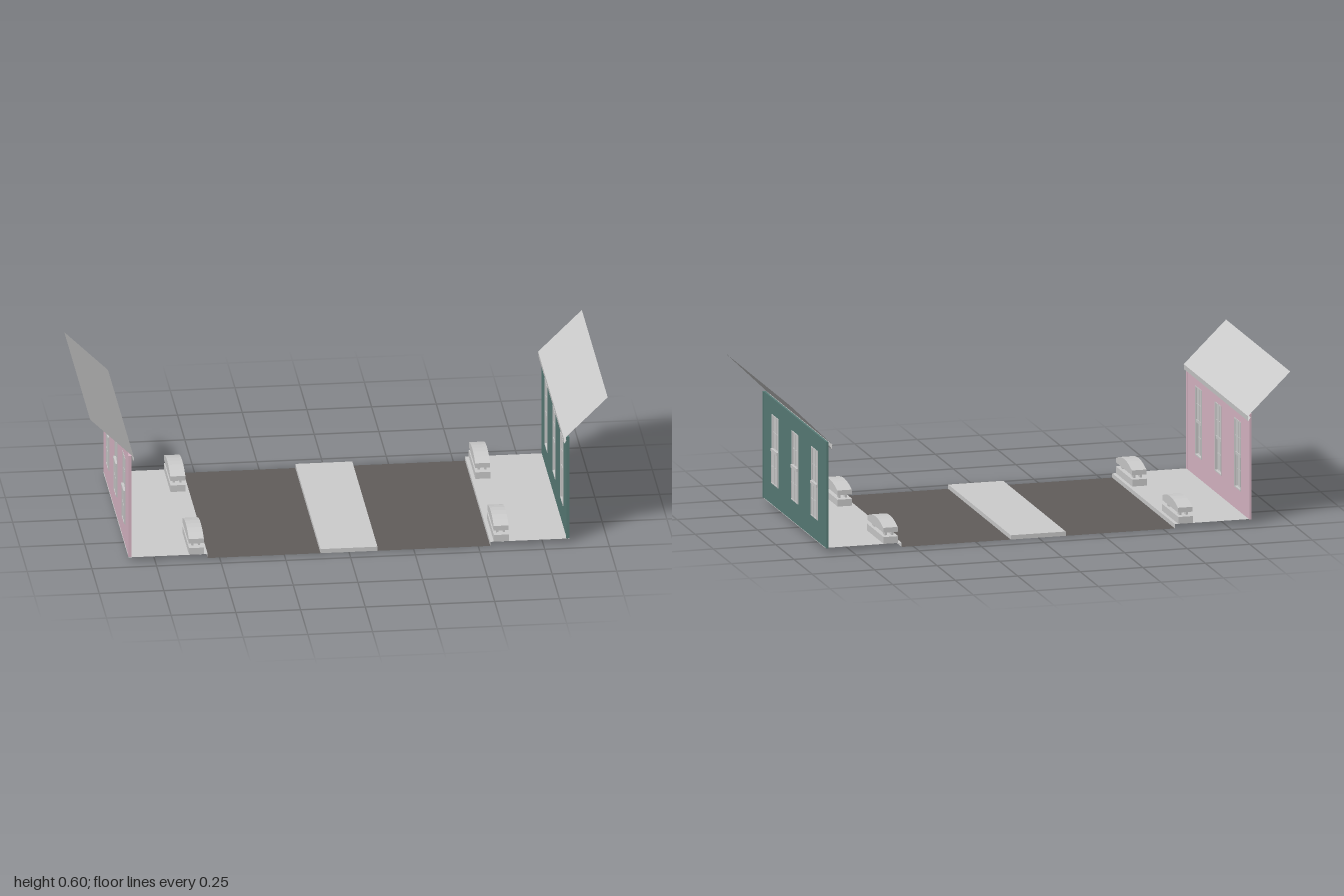
import * as THREE from 'three';

const material = (color) => new THREE.MeshStandardMaterial({ color, side: THREE.DoubleSide, flatShading: true });
const grey = material(0xcccccc);
const asphalt = material(0x615d5b);
const teal = material(0x587c77);
const pink = material(0xd9b6c5);

const BACK = -0.421, FRONT = 0.443, KERB = 0.017;
const WALL_BOTTOM = KERB, WALL_TOP = 0.437;
const WINDOW_Z = [0.273, 0.001, -0.268];
const WINDOW_HALF = 0.045, WINDOW_LOW = 0.1, WINDOW_HIGH = 0.374;

function add(parent, name, geometry, mat = grey) {
  const mesh = new THREE.Mesh(geometry, mat);
  mesh.name = name;
  parent.add(mesh);
  return mesh;
}

// Box given by its limits on each axis
function box(parent, name, [x0, x1], [y0, y1], [z0, z1], mat = grey) {
  const mesh = add(parent, name, new THREE.BoxGeometry(Math.abs(x1 - x0), y1 - y0, z1 - z0), mat);
  mesh.position.set((x0 + x1) / 2, (y0 + y1) / 2, (z0 + z1) / 2);
  return mesh;
}

// Thin sheet: a line of [x, y] points swept along z
function sheet(parent, name, points, z0, z1, mat = grey) {
  const positions = [], index = [];
  points.forEach(([x, y], i) => {
    positions.push(x, y, z0, x, y, z1);
    const a = i * 2;
    if (i) index.push(a - 2, a - 1, a + 1, a - 2, a + 1, a);
  });
  const geometry = new THREE.BufferGeometry();
  geometry.setAttribute('position', new THREE.Float32BufferAttribute(positions, 3));
  geometry.setIndex(index);
  const flat = geometry.toNonIndexed();
  flat.computeVertexNormals();
  return add(parent, name, flat, mat);
}

// Extrude a (z, y) outline along x, centred on x = 0
function extrudeAcross(shape, width) {
  const geometry = new THREE.ExtrudeGeometry(shape, { depth: width, bevelEnabled: false });
  geometry.translate(0, 0, -width / 2);
  geometry.rotateY(-Math.PI / 2);
  return geometry;
}

function rectangle(Type, z0, z1, y0, y1) {
  return new Type([[z0, y0], [z1, y0], [z1, y1], [z0, y1]].map(([z, y]) => new THREE.Vector2(z, y)));
}

// One sash: pane, frame and crossed glazing bars
function sash(parent, name, side, x, z, y0, y1) {
  const group = new THREE.Group();
  group.name = name;
  const span = (half) => [side * (x - half), side * (x + half)];
  const w = 0.041, f = 0.004, mid = (y0 + y1) / 2;
  box(group, 'pane', span(0.0006), [y0, y1], [z - w, z + w]);
  for (const e of [-1, 1]) {
    const edge = z + e * (w - f / 2);
    box(group, 'stile', span(0.003), [y0, y1], [edge - f / 2, edge + f / 2]);
  }
  box(group, 'bottomRail', span(0.003), [y0, y0 + f], [z - w, z + w]);
  box(group, 'topRail', span(0.003), [y1 - f, y1], [z - w, z + w]);
  box(group, 'verticalBar', span(0.002), [y0, y1], [z - 0.0015, z + 0.0015]);
  box(group, 'horizontalBar', span(0.002), [mid - 0.0015, mid + 0.0015], [z - w, z + w]);
  parent.add(group);
}

function houseFront(side, color) {
  const house = new THREE.Group();
  house.name = side > 0 ? 'leftHouseFront' : 'rightHouseFront';

  // Wall with window openings
  const outline = rectangle(THREE.Shape, -0.432, 0.44, WALL_BOTTOM, WALL_TOP);
  for (const z of WINDOW_Z) {
    outline.holes.push(rectangle(THREE.Path, z - WINDOW_HALF, z + WINDOW_HALF, WINDOW_LOW, WINDOW_HIGH));
  }
  add(house, 'wall', extrudeAcross(outline, 0.008), color).position.x = side * 0.846;
  box(house, 'cornerBoard', [side * 0.84, side * 0.852], [WALL_BOTTOM, WALL_TOP], [0.427, 0.4405], color);

  // Sash windows, the lower sash set further from the street
  for (const z of WINDOW_Z) {
    const casing = rectangle(THREE.Shape, z - WINDOW_HALF, z + WINDOW_HALF, WINDOW_LOW, WINDOW_HIGH);
    casing.holes.push(rectangle(THREE.Path, z - 0.04, z + 0.04, WINDOW_LOW + 0.005, WINDOW_HIGH - 0.005));
    add(house, 'windowCasing', extrudeAcross(casing, 0.011)).position.x = side * 0.846;
    sash(house, 'upperSash', side, 0.846, z, 0.238, 0.371);
    sash(house, 'lowerSash', side, 0.852, z, 0.103, 0.24);
    box(house, 'meetingRail', [side * 0.844, side * 0.857], [0.229, 0.241], [z - 0.042, z + 0.042]);
  }

  // Roof slope rising away from the street, with its eave
  const eave = [side * 0.831, 0.43];
  sheet(house, 'roof', [eave, [side, 0.595]], -0.446, 0.44);
  sheet(house, 'eave', [eave, [side * 0.832, 0.41], [side * 0.842, 0.425]], -0.446, 0.44);
  return house;
}

// Low bench-like block: base, short legs and an arched top
function streetBlock(x, z) {
  const group = new THREE.Group();
  group.name = 'streetBlock';
  box(group, 'base', [-0.029, 0.029], [0, 0.027], [-0.114, 0.114]);
  for (const lx of [-0.013, 0.013]) {
    for (const lz of [-0.075, 0.075]) {
      box(group, 'leg', [lx - 0.004, lx + 0.004], [0.027, 0.044], [lz - 0.012, lz + 0.012]);
    }
  }
  const profile = [new THREE.Vector2(-0.108, 0.043), new THREE.Vector2(0.108, 0.043)];
  for (let i = 0; i <= 6; i++) {
    const t = 1 - i / 3;
    profile.push(new THREE.Vector2(t * 0.108, 0.062 + 0.021 * (1 - t * t)));
  }
  add(group, 'archedTop', extrudeAcross(new THREE.Shape(profile), 0.058));
  group.position.set(x, KERB, z);
  return group;
}

export function createModel() {
  const model = new THREE.Group();
  model.name = 'street';

  // Raised median, closed at both ends and open below
  sheet(model, 'median', [[-0.11, 0], [-0.11, KERB], [0.11, KERB], [0.11, 0]], BACK, FRONT);
  for (const z of [BACK, FRONT]) {
    const end = add(model, 'medianEnd', new THREE.PlaneGeometry(0.22, KERB));
    end.position.set(0, KERB / 2, z);
    if (z < 0) end.rotation.y = Math.PI;
  }

  // Lanes, pavements and house fronts on both sides
  for (const side of [-1, 1]) {
    const path = [[side * 0.11, 0], [side * 0.546, 0]];
    const pavement = [[side * 0.546, 0], [side * 0.546, KERB], [side * 0.852, KERB]];
    // Order points by x so that surfaces face up
    if (side < 0) { path.reverse(); pavement.reverse(); }
    sheet(model, 'lane', path, BACK, FRONT, asphalt);
    sheet(model, 'pavement', pavement, BACK, FRONT);
    model.add(houseFront(side, side > 0 ? teal : pink));
    for (const z of [0.328, -0.307]) model.add(streetBlock(side * 0.589, z));
  }
  return model;
}
